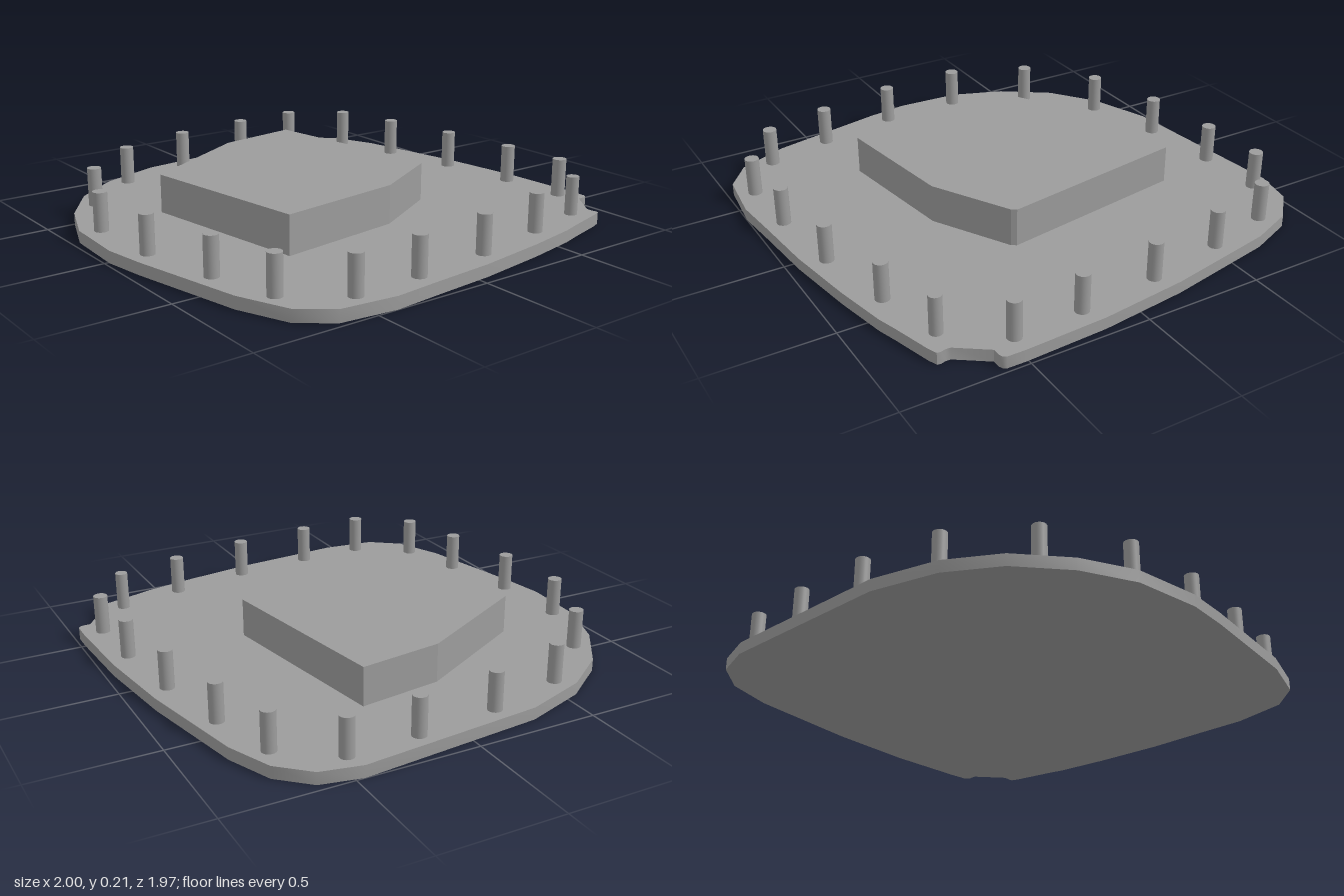
import * as THREE from 'three';
import { toCreasedNormals } from 'three/addons/utils/BufferGeometryUtils.js';

const PLATE_H = 0.05;
const TOP = 0.21;

// Outline of the base plate as [x, z], with the stepped notch at the back left corner
const plateOutline = [
  [0.51, -0.983], [0.585, -0.982], [0.598, -0.975], [0.604, -0.96], [0.605, -0.927],
  [0.725, -0.841], [0.745, -0.84], [0.765, -0.845], [0.78, -0.843], [0.795, -0.806],
  [0.84, -0.646], [0.865, -0.566], [0.91, -0.346], [0.957, -0.046], [0.98, 0.214],
  [1, 0.414], [0.975, 0.644], [0.88, 0.769], [0.67, 0.855], [0.19, 0.955],
  [0.01, 0.983], [-0.27, 0.969], [-0.49, 0.885], [-0.69, 0.744], [-0.83, 0.554],
  [-0.925, 0.289], [-1, -0.466], [-0.965, -0.631], [-0.855, -0.75], [-0.67, -0.825],
  [-0.2, -0.921], [0.165, -0.967],
];

// Outline of the raised centre block
const blockOutline = [
  [-0.62, -0.266], [0.19, -0.393], [0.21, -0.38], [0.385, -0.061],
  [0.46, 0.479], [-0.29, 0.59], [-0.57, 0.084],
];

// Pin centres around the rim as [x, z, radius]
const pins = [
  [-0.757, -0.71], [-0.472, -0.785], [-0.13, -0.848], [0.218, -0.886], [0.508, -0.9],
  [0.727, -0.738, 0.026], [0.797, -0.455], [0.866, -0.11], [0.903, 0.237], [0.915, 0.53],
  [0.754, 0.748], [0.47, 0.82], [0.127, 0.885], [-0.222, 0.896], [-0.547, 0.758],
  [-0.775, 0.487], [-0.866, 0.149], [-0.905, -0.198], [-0.917, -0.492],
];

// Upright prism from an [x, z] outline
function prism(outline, y, height) {
  const shape = new THREE.Shape(outline.map(([x, z]) => new THREE.Vector2(x, -z)));
  return new THREE.ExtrudeGeometry(shape, { depth: height, bevelEnabled: false })
    .rotateX(-Math.PI / 2)
    .translate(0, y, 0);
}

export function createModel() {
  const model = new THREE.Group();
  const material = new THREE.MeshStandardMaterial({ color: 0x9c9c9c });
  const add = (name, geometry, parent = model) => {
    const mesh = new THREE.Mesh(geometry, material);
    mesh.name = name;
    parent.add(mesh);
    return mesh;
  };

  // Plate rim is shaded smoothly around its curve, the block stays faceted
  add('basePlate', toCreasedNormals(prism(plateOutline, 0, PLATE_H), 0.7));
  add('centreBlock', prism(blockOutline, PLATE_H, TOP - PLATE_H));

  // Ring of locating pins, standing on the plate
  const ring = new THREE.Group();
  ring.name = 'rimPins';
  model.add(ring);
  const pinHeight = TOP - PLATE_H;
  for (const [x, z, r = 0.029] of pins) {
    const pin = add('pin', new THREE.CylinderGeometry(r, r, pinHeight, 24), ring);
    pin.position.set(x, PLATE_H + pinHeight / 2, z);
  }

  return model;
}
